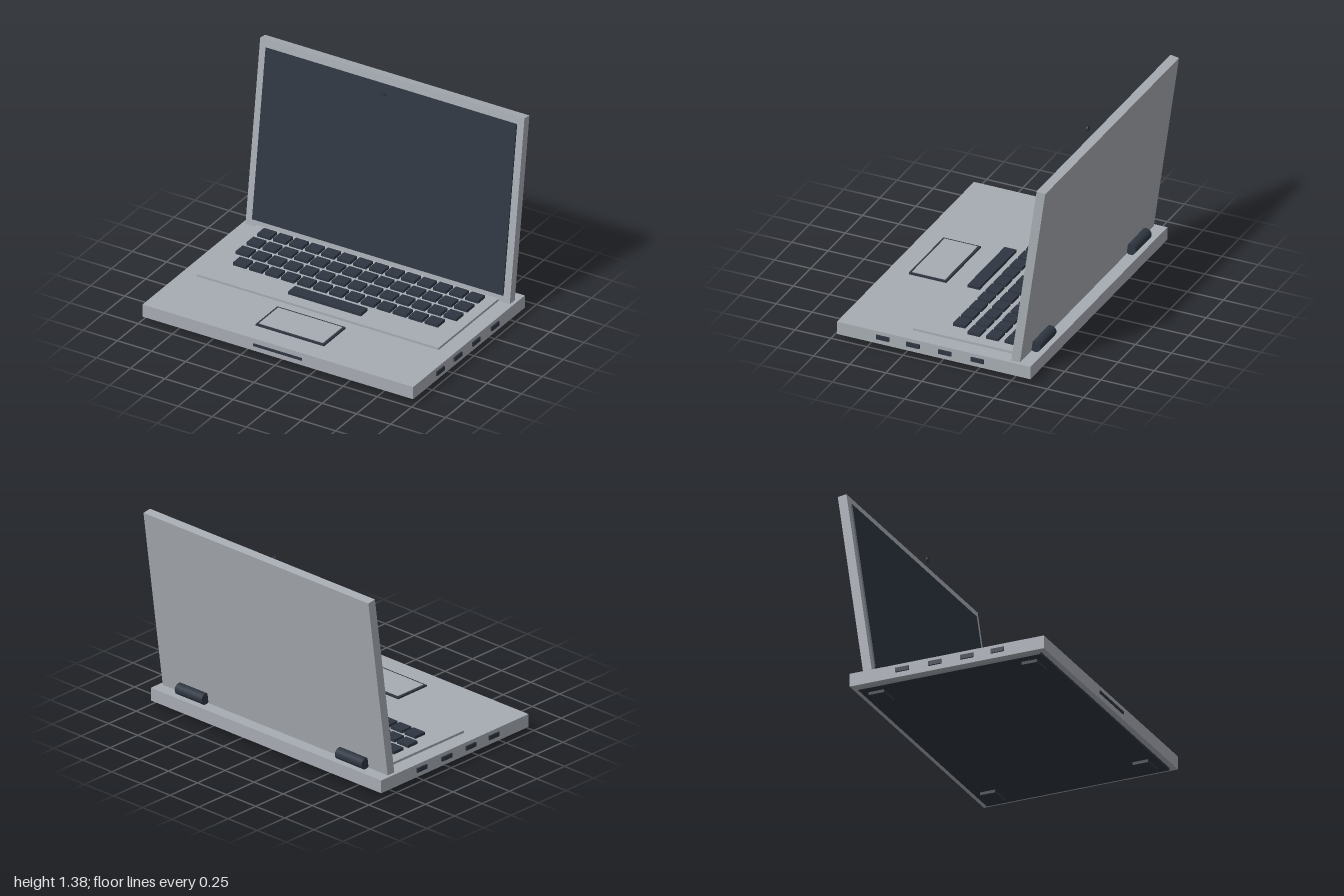
import * as THREE from 'three';

export function createModel() {
  const silver = new THREE.MeshStandardMaterial({ color: 0xa6abb2 });
  silver.name = 'silver';
  const dark = new THREE.MeshStandardMaterial({ color: 0x2e3641 });
  dark.name = 'darkSlate';

  const model = new THREE.Group();
  model.name = 'laptop';

  const add = (name, geometry, material, x, y, z, parent = model) => {
    const mesh = new THREE.Mesh(geometry, material);
    mesh.name = name;
    mesh.position.set(x, y, z);
    parent.add(mesh);
    return mesh;
  };
  // Box given by its extents on y and z, centred on x
  const slab = (name, material, width, y0, y1, z0, z1, x = 0, parent = model) =>
    add(name, new THREE.BoxGeometry(width, y1 - y0, z1 - z0), material, x, (y0 + y1) / 2, (z0 + z1) / 2, parent);

  // Base
  slab('base', silver, 1.98, 0.035, 0.123, -0.627, 0.713);
  slab('bottomPlate', dark, 1.9, 0.02, 0.035, -0.588, 0.673);
  slab('keyboardDeck', silver, 1.77, 0.123, 0.139, -0.5, 0.237);
  slab('frontLatch', dark, 0.352, 0.071, 0.088, 0.713, 0.72);
  slab('touchpadFrame', dark, 0.5, 0.123, 0.134, 0.31, 0.57);
  slab('touchpad', silver, 0.47, 0.123, 0.138, 0.325, 0.555);

  // Feet and hinges, mirrored left and right
  for (const side of [-1, 1]) {
    for (const z of [0.567, -0.487]) {
      slab('foot', dark, 0.15, 0, 0.02, z - 0.053, z + 0.053, side * 0.818);
    }
    const hinge = new THREE.CylinderGeometry(0.038, 0.038, 0.23, 24).rotateZ(Math.PI / 2);
    add('hinge', hinge, dark, side * 0.688, 0.16, -0.57);
    for (const z of [0.394, 0.184, -0.036, -0.262]) {
      slab('port', dark, 0.02, 0.069, 0.098, z - 0.045, z + 0.045, side * 0.99);
    }
  }

  // Keyboard
  const keys = new THREE.Group();
  keys.name = 'keys';
  model.add(keys);
  const pitch = 0.117;
  [14, 14, 14, 13].forEach((count, row) => {
    const z = -0.404 + row * 0.1285;
    for (let i = 0; i < count; i++) {
      slab('key', dark, 0.096, 0.139, 0.159, z - 0.0425, z + 0.0425, (i - (count - 1) / 2) * pitch, keys);
    }
  });
  slab('spaceBar', dark, 0.533, 0.139, 0.159, 0.072, 0.154, 0, keys);

  // Lid, leaning back 8 degrees about its lower edge
  const lid = new THREE.Group();
  lid.name = 'lid';
  lid.position.set(0, 0.12, -0.513);
  lid.rotation.x = -THREE.MathUtils.degToRad(8);
  model.add(lid);
  slab('lidShell', silver, 1.934, 0, 1.266, -0.03, 0.03, 0, lid);
  slab('screen', dark, 1.836, 0.046, 1.213, 0.03, 0.0395, 0, lid);

  // Camera, set upright in front of the screen
  const camera = new THREE.CylinderGeometry(0.017, 0.017, 0.009, 20).rotateX(Math.PI / 2);
  add('webcam', camera, dark, 0, 1.312, -0.551);

  return model;
}
